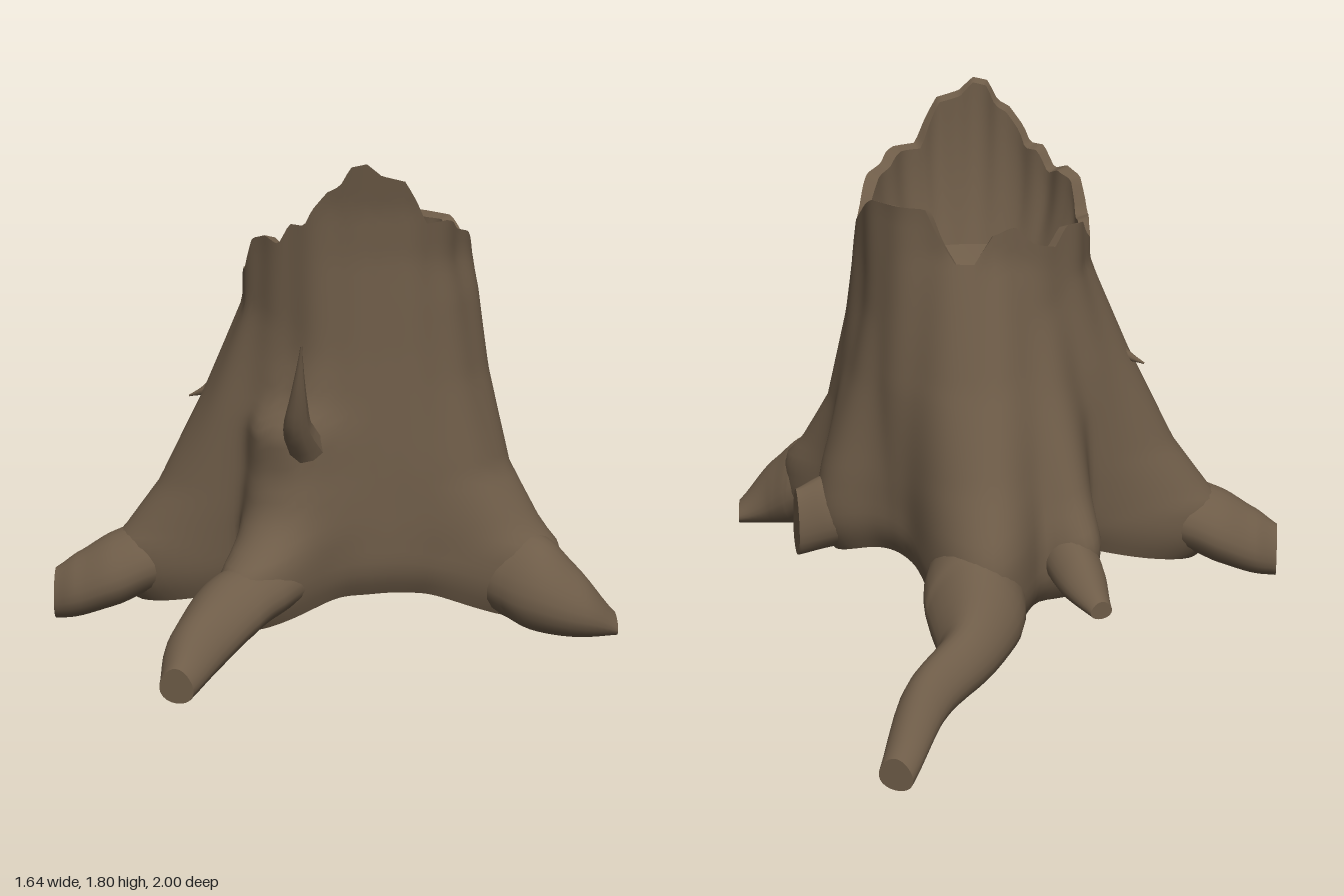
import * as THREE from 'three';

const bark = new THREE.MeshStandardMaterial({ color: 0x6e5c48 });
bark.name = 'bark';
const moss = new THREE.MeshStandardMaterial({ color: 0x666b3b });
moss.name = 'moss';
const mossEdge = new THREE.MeshStandardMaterial({ color: 0x655e41 });
mossEdge.name = 'moss edge';

const CX = -0.035, CZ = -0.01, SEG = 160;

// Closed-loop surface: point(u, v) with u around the loop and v along the profile
function loopMesh(name, material, cols, rows, point) {
  const pos = [], index = [];
  for (let j = 0; j <= rows; j++)
    for (let i = 0; i < cols; i++) pos.push(...point(i / cols, j / rows));
  for (let j = 0; j < rows; j++)
    for (let i = 0; i < cols; i++) {
      const k = (i + 1) % cols;
      const a = j * cols + i, b = j * cols + k, c = a + cols, d = b + cols;
      index.push(a, c, b, b, c, d);
    }
  const geo = new THREE.BufferGeometry();
  geo.setAttribute('position', new THREE.Float32BufferAttribute(pos, 3));
  geo.setIndex(index);
  geo.computeVertexNormals();
  const mesh = new THREE.Mesh(geo, material);
  mesh.name = name;
  return mesh;
}

// Piecewise linear lookup in a list of [key, value]
function lookup(table, k) {
  for (let i = 1; i < table.length; i++) {
    const [k0, v0] = table[i - 1], [k1, v1] = table[i];
    if (k <= k1) return v0 + (v1 - v0) * Math.max(0, (k - k0) / (k1 - k0));
  }
  return table[table.length - 1][1];
}

// Broken rim: angle from +x towards +z in degrees, height
const RIM = [
  [0, 1.6], [14, 1.6], [19, 1.66], [27, 1.74], [38, 1.76], [45, 1.8], [52, 1.79], [57, 1.73],
  [63, 1.71], [71, 1.65], [75, 1.6], [84, 1.6], [91, 1.53], [101, 1.55], [112, 1.53],
  [120, 1.42], [128, 1.42], [141, 1.37], [150, 1.4], [158, 1.45], [174, 1.46], [182, 1.4],
  [195, 1.42], [205, 1.48], [216, 1.46], [225, 1.37], [234, 1.37], [244, 1.46], [250, 1.53],
  [284, 1.53], [296, 1.49], [309, 1.43], [316, 1.37], [322, 1.44], [329, 1.5], [336, 1.54],
  [348, 1.56], [354, 1.59], [360, 1.6],
];
const rimY = (u) => lookup(RIM, u * 360);

// Trunk radius by height between the roots
const RADIUS = [[0.4, 0.415], [0.65, 0.41], [0.9, 0.395], [1.2, 0.373], [1.5, 0.358], [1.65, 0.365], [1.8, 0.395]];

// Buttresses: direction and spread in degrees, sag of the underside, ridge as [height, radius]
const BUTTRESSES = [
  { dir: 137, spread: 30, sag: 0.12, ridge: [[0.5, 0.81], [0.54, 0.77], [0.7, 0.65], [1.0, 0.5], [1.3, 0.37]] },
  { dir: 83, spread: 21, sag: 0.06, ridge: [[0.54, 0.72], [0.58, 0.66], [0.63, 0.58], [0.7, 0.52], [0.82, 0.485], [0.96, 0.485], [1.05, 0.41], [1.2, 0.37]] },
  { dir: 343, spread: 27, sag: 0.11, ridge: [[0.55, 0.7], [0.62, 0.63], [0.8, 0.51], [1.1, 0.43], [1.35, 0.39], [1.5, 0.35]] },
  { dir: 222, spread: 30, sag: 0.16, ridge: [[0.5, 0.72], [0.56, 0.7], [0.72, 0.61], [1.0, 0.49], [1.4, 0.36]] },
  { dir: 192, spread: 19, sag: 0.03, ridge: [[0.53, 0.66], [0.65, 0.59], [0.8, 0.53], [0.97, 0.46], [1.25, 0.37]] },
  { dir: 297, spread: 20, sag: 0.05, ridge: [[0.55, 0.53], [0.65, 0.51], [0.73, 0.485], [0.95, 0.42], [1.2, 0.37]] },
];
// Strength of a buttress in a direction, narrower where its ridge reaches further out
function falloff(u, b, reach) {
  const d = ((u * 360 - b.dir + 540) % 360) - 180;
  return Math.exp(-((d / (b.spread * Math.min(1, 0.5 / reach))) ** 2));
}
const baseY = (u) => 0.43 - BUTTRESSES.reduce((s, b) => s + b.sag * falloff(u, b, 0.6), 0);

function outerR(u, y) {
  const base = lookup(RADIUS, y);
  const bulge = Math.cbrt(BUTTRESSES.reduce((s, b) => {
    const reach = lookup(b.ridge, y);
    return s + (Math.max(0, reach - base) * falloff(u, b, reach)) ** 3;
  }, 0));
  const grain = 0.005 * Math.sin(u * Math.PI * 14) + 0.003 * Math.sin(u * Math.PI * 30 + 2);
  const tuck = 1 - 0.1 * Math.max(0, 1 - (y - baseY(u)) / 0.12) ** 2;
  return (base + bulge + grain) * tuck;
}
const polar = (u, r, y) => {
  const t = u * Math.PI * 2;
  return [CX + r * Math.cos(t), y, CZ + r * Math.sin(t)];
};
const innerTop = (u) => outerR(u, rimY(u)) - 0.036 + 0.004 * Math.sin(u * Math.PI * 34);
const FLOOR_R = 0.28, FLOOR_Y = 1.27;
const floorY = (r) => FLOOR_Y - 0.2 * (1 - (r / FLOOR_R) ** 2);

function buildTrunk() {
  const g = new THREE.Group();
  g.name = 'trunk';
  // Arched underside
  g.add(loopMesh('trunkUnderside', bark, SEG, 8, (u, v) =>
    polar(u, v * outerR(u, baseY(u)), 0.46 + (baseY(u) - 0.46) * v * v)));
  g.add(loopMesh('trunkWall', bark, SEG, 36, (u, v) => {
    const y = baseY(u) + (rimY(u) - baseY(u)) * v;
    return polar(u, outerR(u, y), y);
  }));
  g.add(loopMesh('brokenRim', bark, SEG, 1, (u, v) => {
    const o = outerR(u, rimY(u));
    return polar(u, o + (innerTop(u) - o) * v, rimY(u) - 0.012 * v);
  }));
  g.add(loopMesh('hollowWall', bark, SEG, 8, (u, v) => {
    const top = rimY(u) - 0.012;
    return polar(u, innerTop(u) + (FLOOR_R - innerTop(u)) * v * v, top + (FLOOR_Y - top) * v);
  }));
  // Bowl-shaped hollow floor in concentric bands, moss in the middle
  const bands = [['hollowFloor', bark, FLOOR_R, 0.205], ['mossBorder', mossEdge, 0.205, 0.16], ['mossPatch', moss, 0.16, 0]];
  for (const [name, mat, r0, r1] of bands)
    g.add(loopMesh(name, mat, SEG, 4, (u, v) => {
      const wave = (r) => (r > 0 && r < FLOOR_R
        ? r + 0.012 * Math.sin(u * Math.PI * 2 + 0.6) + 0.007 * Math.sin(u * Math.PI * 14) : r);
      const r = wave(r0) + (wave(r1) - wave(r0)) * v;
      return polar(u, r, floorY(r));
    }));
  return g;
}

// Root stations: x, z, bottom height, top height, half width
const ROOTS = {
  frontRightRoot: [
    [-0.45, 0.38, 0.38, 0.58, 0.1], [-0.53, 0.46, 0.34, 0.57, 0.14], [-0.61, 0.54, 0.29, 0.53, 0.145],
    [-0.7, 0.62, 0.25, 0.46, 0.11], [-0.755, 0.665, 0.24, 0.41, 0.07]],
  frontRoot: [
    [0.06, 0.45, 0.42, 0.6, 0.1], [0.05, 0.56, 0.4, 0.585, 0.12], [0.04, 0.68, 0.36, 0.56, 0.125],
    [0.06, 0.85, 0.29, 0.47, 0.095], [0.11, 0.985, 0.25, 0.36, 0.055]],
  leftRoot: [
    [0.42, -0.13, 0.35, 0.62, 0.12], [0.52, -0.15, 0.32, 0.61, 0.14], [0.61, -0.17, 0.29, 0.59, 0.145],
    [0.7, -0.22, 0.28, 0.5, 0.12], [0.785, -0.31, 0.28, 0.35, 0.06]],
  backRightRoot: [
    [-0.4, -0.39, 0.34, 0.58, 0.13], [-0.47, -0.45, 0.29, 0.57, 0.15], [-0.54, -0.51, 0.24, 0.53, 0.145],
    [-0.61, -0.63, 0.2, 0.4, 0.09], [-0.61, -0.79, 0.12, 0.3, 0.075], [-0.675, -0.975, 0.0, 0.1, 0.055]],
  rightRoot: [
    [-0.5, -0.11, 0.42, 0.6, 0.08], [-0.58, -0.145, 0.4, 0.58, 0.085], [-0.68, -0.19, 0.37, 0.52, 0.075],
    [-0.8, -0.235, 0.355, 0.41, 0.035]],
  backRoot: [
    [0.14, -0.37, 0.4, 0.63, 0.1], [0.2, -0.445, 0.38, 0.62, 0.09], [0.25, -0.525, 0.36, 0.58, 0.06]],
};

// Root: upright egg-shaped sections lofted outward, with a cut end
function buildRoot(name, stations) {
  const g = new THREE.Group();
  g.name = name;
  const path = new THREE.CatmullRomCurve3(stations.map((s) => new THREE.Vector3(s[0], 0, s[1])));
  const size = new THREE.CatmullRomCurve3(stations.map((s) => new THREE.Vector3(s[2], s[3], s[4])),
    false, 'catmullrom', 0.4);
  const section = (u, v, scale = 1) => {
    const p = path.getPoint(v), t = path.getTangent(v), s = size.getPoint(v);
    const a = u * Math.PI * 2, sn = Math.sin(a);
    const w = s.z * Math.cos(a) * (1 - 0.2 * sn) * scale;
    return [p.x - t.z * w, (s.x + s.y) / 2 + ((s.y - s.x) / 2) * sn * scale, p.z + t.x * w];
  };
  g.add(loopMesh(name + 'Bark', bark, 24, 24, (u, v) => section(u, v)));
  g.add(loopMesh(name + 'End', bark, 24, 1, (u, v) => section(u, 1, 1 - v)));
  return g;
}

// Tapered snag: tube with its radius shrinking to a point
function buildSnag(name, points, radius) {
  const curve = new THREE.CatmullRomCurve3(points.map((p) => new THREE.Vector3(...p)));
  const rows = 12, cols = 10;
  const geo = new THREE.TubeGeometry(curve, rows, 1, cols);
  const pos = geo.attributes.position, q = new THREE.Vector3();
  for (let i = 0; i < pos.count; i++) {
    const v = Math.floor(i / (cols + 1)) / rows, c = curve.getPointAt(v);
    q.fromBufferAttribute(pos, i).sub(c).multiplyScalar(radius * (1 - v) ** 1.2 + 0.003).add(c);
    pos.setXYZ(i, q.x, q.y, q.z);
  }
  geo.computeVertexNormals();
  const mesh = new THREE.Mesh(geo, bark);
  mesh.name = name;
  return mesh;
}

export function createModel() {
  const model = new THREE.Group();
  model.name = 'hollowStump';
  model.add(buildTrunk());
  for (const [name, stations] of Object.entries(ROOTS)) model.add(buildRoot(name, stations));
  model.add(buildSnag('frontSnag',
    [[0.1, 0.92, 0.39], [0.125, 1.0, 0.455], [0.16, 1.1, 0.49], [0.21, 1.28, 0.53]], 0.06));
  model.add(buildSnag('sideSplinter',
    [[-0.36, 1.06, 0.24], [-0.41, 1.0, 0.285], [-0.47, 0.97, 0.32]], 0.045));
  return model;
}
